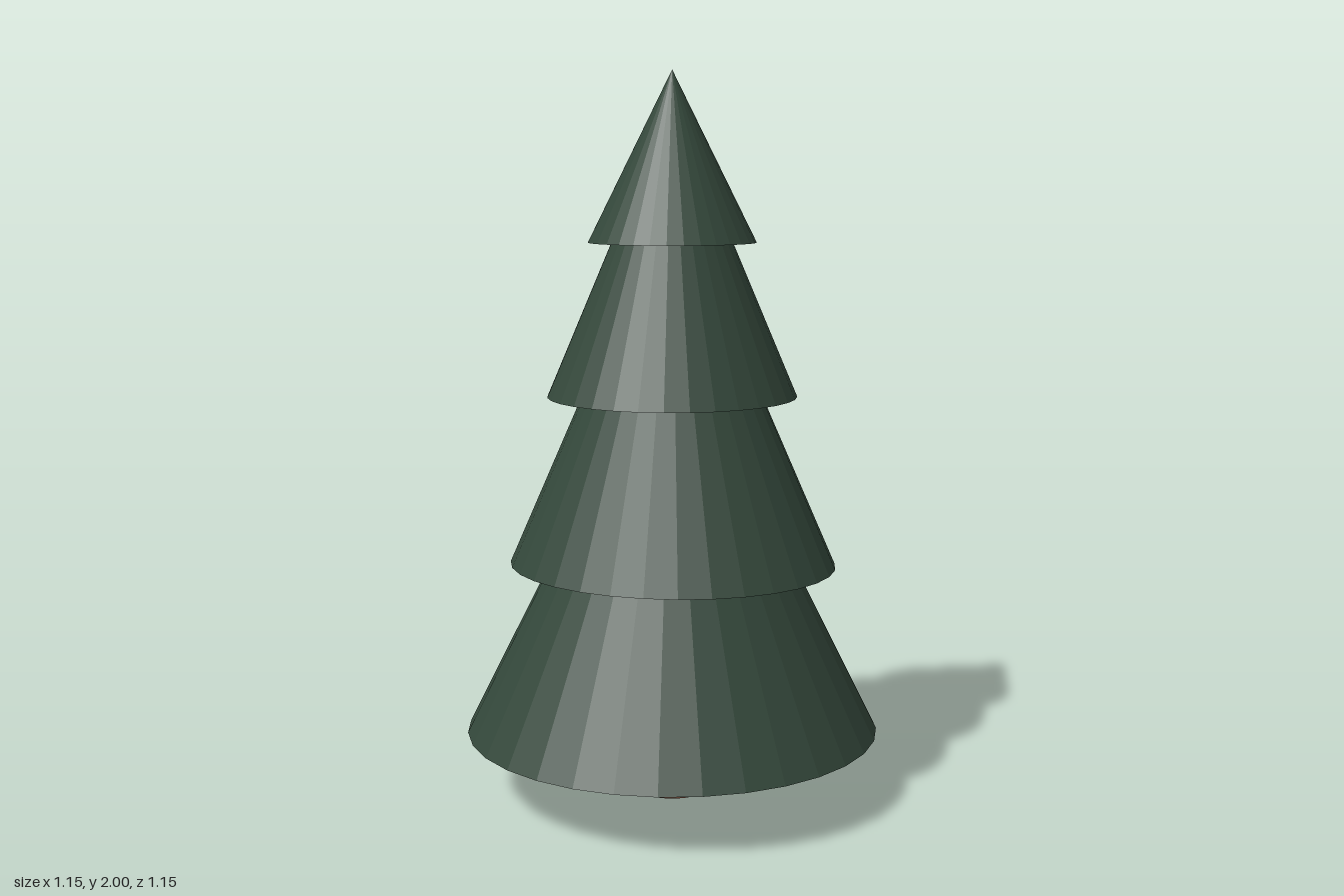
import * as THREE from 'three';

const SIDES = 32;

export function createModel() {
  const tree = new THREE.Group();
  tree.name = 'pineTree';
  const foliage = new THREE.MeshStandardMaterial({ color: 0x34483b, flatShading: true });
  const bark = new THREE.MeshStandardMaterial({ color: 0x6b4433, flatShading: true });

  // Trunk, running a little way up into the lowest tier
  const trunk = new THREE.Mesh(new THREE.CylinderGeometry(0.113, 0.113, 0.3, SIDES), bark);
  trunk.name = 'trunk';
  trunk.position.y = 0.15;
  tree.add(trunk);

  // Overlapping closed cones; the second is slightly oval and turned
  const tiers = [
    { name: 'bottomTier', base: 0.18, apex: 1.33, rx: 0.576, rz: 0.576, turn: 0 },
    { name: 'lowerMiddleTier', base: 0.65, apex: 1.69, rx: 0.459, rz: 0.418, turn: -0.33 },
    { name: 'upperMiddleTier', base: 1.12, apex: 1.93, rx: 0.344, rz: 0.344, turn: 0 },
    { name: 'topTier', base: 1.54, apex: 2.0, rx: 0.23, rz: 0.23, turn: 0 },
  ];
  for (const { name, base, apex, rx, rz, turn } of tiers) {
    const tier = new THREE.Mesh(new THREE.ConeGeometry(1, apex - base, SIDES), foliage);
    tier.name = name;
    tier.scale.set(rx, 1, rz);
    tier.rotation.y = turn;
    tier.position.y = (base + apex) / 2;
    tree.add(tier);
  }
  return tree;
}
